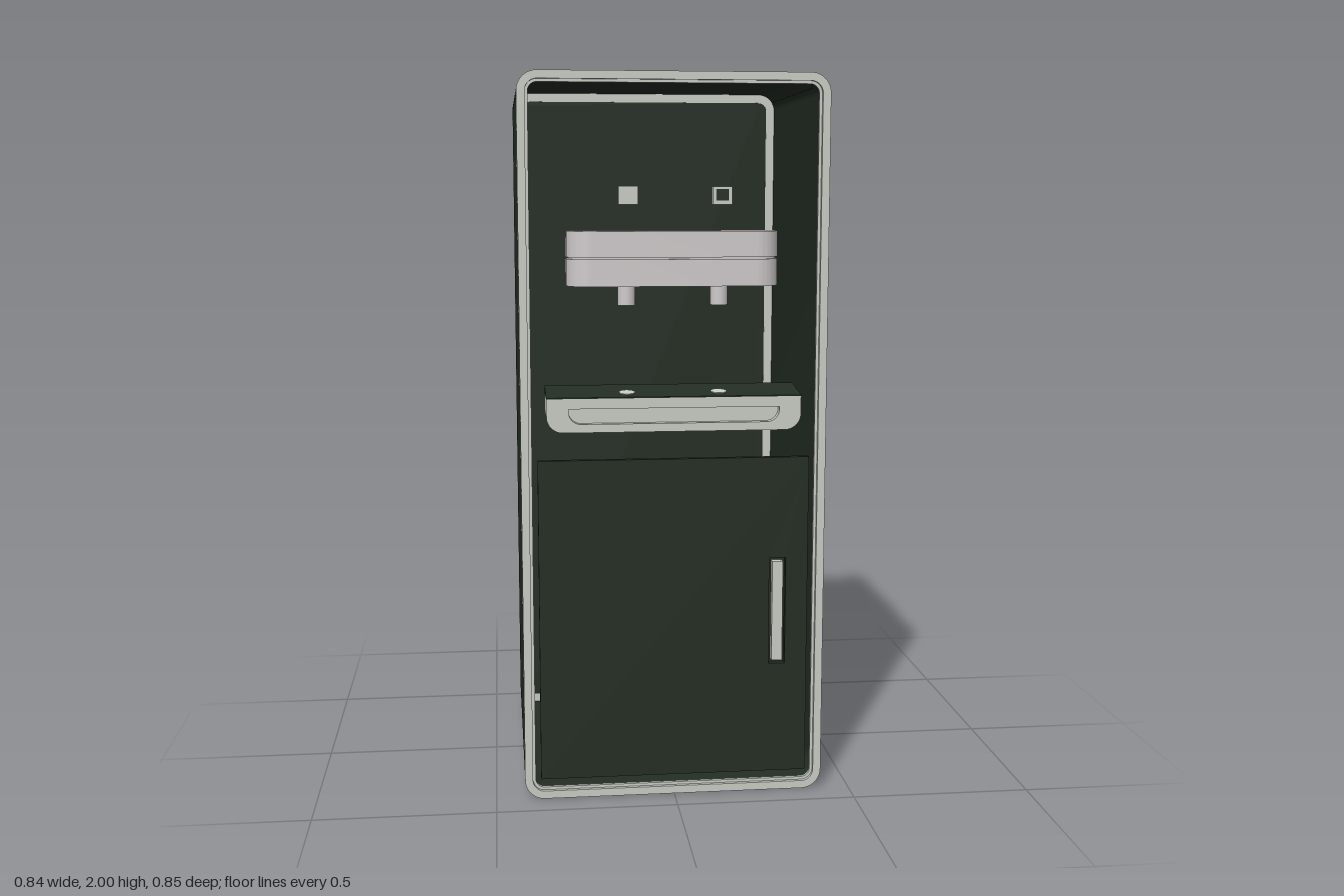
import * as THREE from 'three';
import { toCreasedNormals } from 'three/addons/utils/BufferGeometryUtils.js';

const DS = THREE.DoubleSide;
const material = (name, color) => {
  const m = new THREE.MeshStandardMaterial({ color, side: DS });
  m.name = name;
  return m;
};

// Rounded rectangle centred on (x, y); rTop and rBottom are corner radii
function roundRect(w, h, x, y, rBottom, rTop = rBottom, Type = THREE.Shape) {
  const s = new Type(), a = x - w / 2, b = x + w / 2, c = y - h / 2, d = y + h / 2;
  s.moveTo(a + rBottom, c);
  s.lineTo(b - rBottom, c);
  if (rBottom) s.absarc(b - rBottom, c + rBottom, rBottom, -Math.PI / 2, 0, false);
  s.lineTo(b, d - rTop);
  if (rTop) s.absarc(b - rTop, d - rTop, rTop, 0, Math.PI / 2, false);
  s.lineTo(a + rTop, d);
  if (rTop) s.absarc(a + rTop, d - rTop, rTop, Math.PI / 2, Math.PI, false);
  s.lineTo(a, c + rBottom);
  if (rBottom) s.absarc(a + rBottom, c + rBottom, rBottom, Math.PI, Math.PI * 1.5, false);
  return s;
}

// Extrude a shape from z0 to z1
function slab(shape, z0, z1) {
  const g = new THREE.ExtrudeGeometry(shape, { depth: z1 - z0, bevelEnabled: false, curveSegments: 10 });
  g.translate(0, 0, z0);
  return toCreasedNormals(g, 0.6);
}

export function createModel() {
  const group = new THREE.Group();
  const green = material('dark green', 0x242e24);
  const pale = material('pale trim', 0xcacdc5);
  const grey = material('light grey', 0xd0cbcc);

  const add = (name, geometry, mat, x = 0, y = 0, z = 0) => {
    const m = new THREE.Mesh(geometry, mat);
    m.name = name;
    m.position.set(x, y, z);
    group.add(m);
    return m;
  };
  const box = (w, h, d) => new THREE.BoxGeometry(w, h, d);

  // Rounded ring following the cabinet outline, between two insets
  const ring = (outer, inner) => {
    const at = (i, T) => roundRect(0.84 - 2 * i, 2 - 2 * i, 0, 1, 0.055 - i, 0.055 - i, T);
    const s = at(outer, THREE.Shape);
    s.holes.push(at(inner, THREE.Path));
    return s;
  };

  // Hollow cabinet with trim at both ends and a closed back
  add('cabinetShell', slab(ring(0, 0.004), -0.403, 0.398), green);
  add('frontTrim', slab(ring(0, 0.022), 0.398, 0.418), pale);
  add('frontInnerTrim', slab(ring(0.022, 0.03), 0.398, 0.408), pale);
  add('backTrim', slab(ring(0, 0.022), -0.427, -0.403), pale);
  add('backInnerTrim', slab(ring(0.022, 0.03), -0.419, -0.403), pale);
  add('backPanel', slab(roundRect(0.78, 1.94, 0, 1, 0.025), -0.414, -0.404), green);

  // Door with a pocket holding the handle
  const door = roundRect(0.75, 0.905, 0, 0.5075, 0);
  door.holes.push(roundRect(0.046, 0.305, 0.29, 0.523, 0, 0, THREE.Path));
  add('door', slab(door, 0.395, 0.413), green);
  add('handlePocket', box(0.05, 0.31, 0.006), green, 0.29, 0.523, 0.392);
  add('handle', box(0.03, 0.285, 0.022), pale, 0.29, 0.523, 0.405);

  // Dispenser head: two stacked halves, rounded in front, with a seam between
  const headHalf = (inset, h) => {
    const g = slab(roundRect(0.58 - 2 * inset, 0.115 - inset, 0, -0.3575 + inset / 2, 0.065 - inset, 0), 0, h);
    return g.rotateX(Math.PI / 2);
  };
  add('headUpper', headHalf(0, 0.07), grey, 0, 1.58).scale.z = -1;
  add('headSeam', headHalf(0.006, 0.008), grey, 0, 1.511).scale.z = -1;
  add('headLower', headHalf(0, 0.073), grey, 0, 1.505).scale.z = -1;
  group.children.filter((m) => m.name.startsWith('head')).forEach((m) => {
    // Bake the rounded side towards the front
    m.scale.z = 1;
    if (m.geometry.boundingBox === null) m.geometry.computeBoundingBox();
    if (m.geometry.boundingBox.max.z < 0) {
      m.geometry.rotateZ(Math.PI).rotateX(Math.PI);
      m.geometry.computeBoundingBox();
    }
    m.position.y -= m.geometry.boundingBox.max.y;
  });

  // Drip tray: pale front with a recess, green sloping top
  const trayFace = roundRect(0.7, 0.093, 0, 1.0835, 0.045, 0);
  trayFace.holes.push(roundRect(0.58, 0.042, 0, 1.081, 0.035, 0, THREE.Path));
  add('trayFace', slab(trayFace, 0.395, 0.416), pale);
  add('trayBody', slab(roundRect(0.7, 0.093, 0, 1.0835, 0.045, 0), 0.285, 0.395), pale);
  const wedge = new THREE.Shape([[-0.416, 1.13], [-0.285, 1.13], [-0.285, 1.152], [-0.416, 1.133]]
    .map(([a, b]) => new THREE.Vector2(a, b)));
  add('trayTop', slab(wedge, -0.35, 0.35).rotateY(Math.PI / 2), green);

  for (const x of [-0.127, 0.127]) {
    // Nozzle and the drain below it
    add('nozzle', new THREE.CylinderGeometry(0.024, 0.024, 0.055, 24), grey, x, 1.407, 0.365);
    const drain = add('drain', new THREE.CylinderGeometry(0.022, 0.022, 0.004, 24), pale, x, 1.14, 0.37);
    drain.rotation.x = Math.atan2(0.019, 0.131);
    // Button above the head
    add('button', box(0.052, 0.048, 0.027), pale, x, 1.675, 0.4115);
  }
  add('buttonMark', box(0.034, 0.03, 0.002), green, 0.127, 1.677, 0.4255);

  return group;
}
